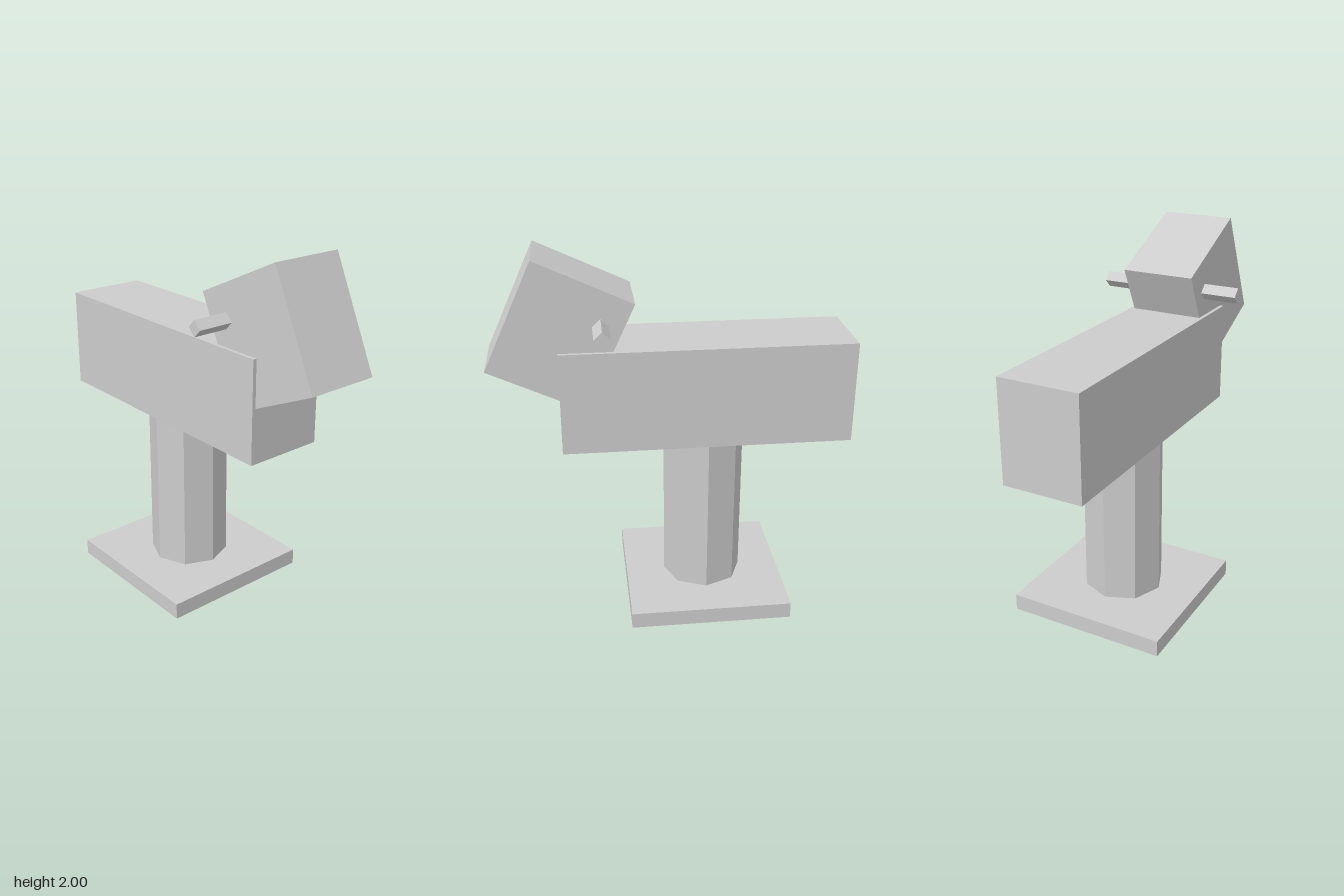
import * as THREE from 'three';

export function createModel() {
  const model = new THREE.Group();
  const grey = new THREE.MeshStandardMaterial({ color: 0xcccccc, flatShading: true });
  grey.name = 'light grey';

  const add = (name, geometry, x, y, z, tilt = 0) => {
    const mesh = new THREE.Mesh(geometry, grey);
    mesh.name = name;
    mesh.position.set(x, y, z);
    mesh.rotation.x = tilt;
    model.add(mesh);
  };

  // Square foot and octagonal column
  add('base', new THREE.BoxGeometry(0.88, 0.09, 0.88), 0, 0.045, -0.18);
  add('column', new THREE.CylinderGeometry(0.22, 0.22, 0.885, 8), 0, 0.5325, -0.18);

  // Long body with the head tilted back at its front end
  add('body', new THREE.BoxGeometry(0.44, 0.55, 1.54), 0, 1.25, -0.18);
  add('head', new THREE.BoxGeometry(0.4, 0.616, 0.55), 0, 1.605, 0.577, -THREE.MathUtils.degToRad(25));

  // Square pegs on both sides of the head, standing on edge
  for (const [name, side] of [['leftPeg', 1], ['rightPeg', -1]]) {
    add(name, new THREE.BoxGeometry(0.21, 0.06, 0.06), side * 0.29, 1.658, 0.371, Math.PI / 4);
  }

  return model;
}
